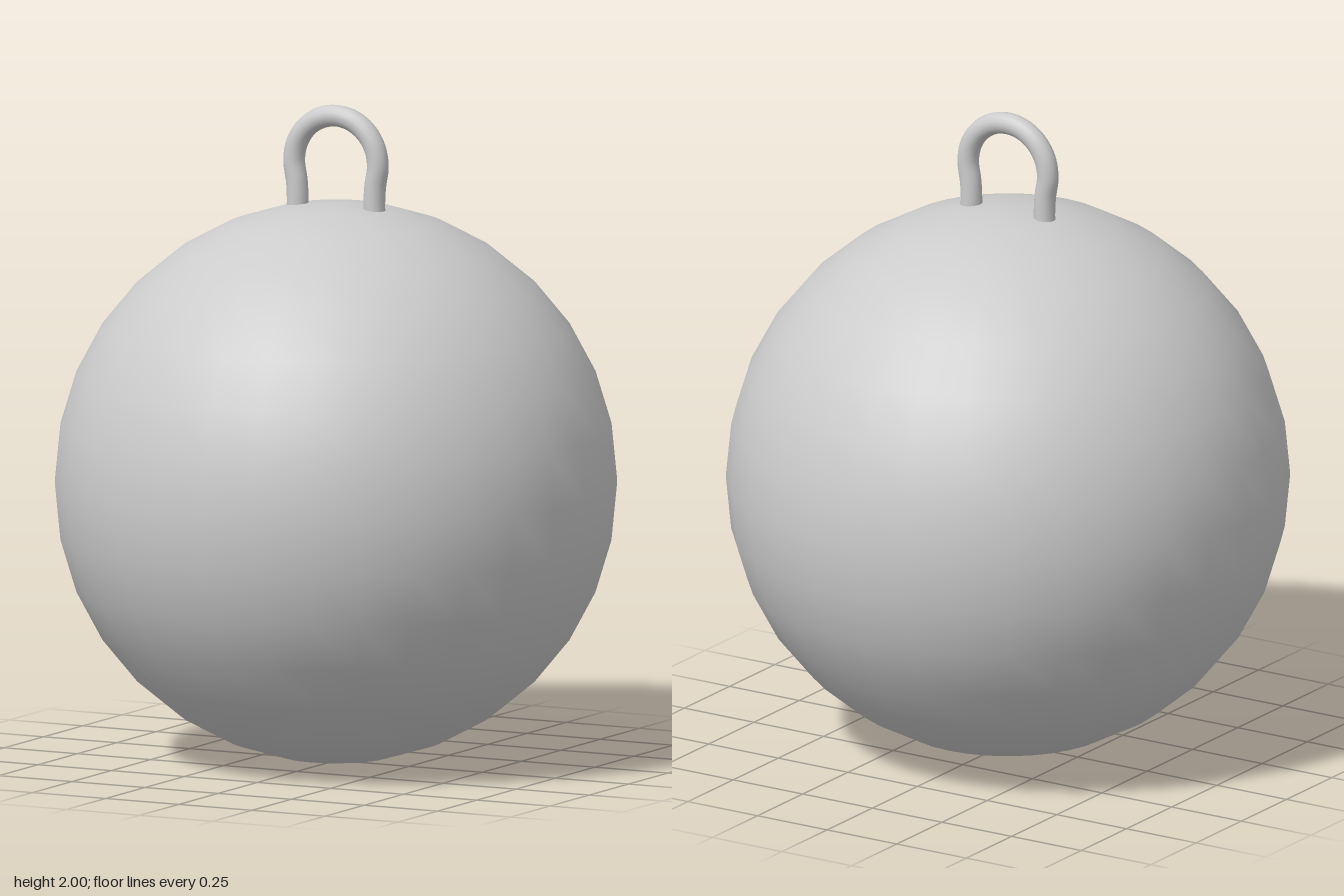
import * as THREE from 'three';

export function createModel() {
  const group = new THREE.Group();
  const material = new THREE.MeshStandardMaterial({ color: 0xcccccc });

  // Round body
  const radius = 0.85;
  const ball = new THREE.Mesh(new THREE.SphereGeometry(radius, 32, 16), material);
  ball.name = 'ball';
  ball.position.y = radius + 0.003;
  group.add(ball);

  // Hanging loop: a round arch whose legs pinch in before entering the ball
  const tube = 0.033, arch = 0.143, archY = 1.824;
  const leg = [[0.132, 1.66], [0.131, 1.71], [0.134, 1.76]];
  const points = leg.map(([x, y]) => new THREE.Vector3(x, y, 0));
  for (let i = 0; i <= 8; i++) {
    const a = (i / 8) * Math.PI;
    points.push(new THREE.Vector3(Math.cos(a) * arch, archY + Math.sin(a) * arch, 0));
  }
  leg.reverse().forEach(([x, y]) => points.push(new THREE.Vector3(-x, y, 0)));
  const path = new THREE.CatmullRomCurve3(points);
  const loop = new THREE.Mesh(new THREE.TubeGeometry(path, 64, tube, 16), material);
  loop.name = 'hangingLoop';
  group.add(loop);

  return group;
}
